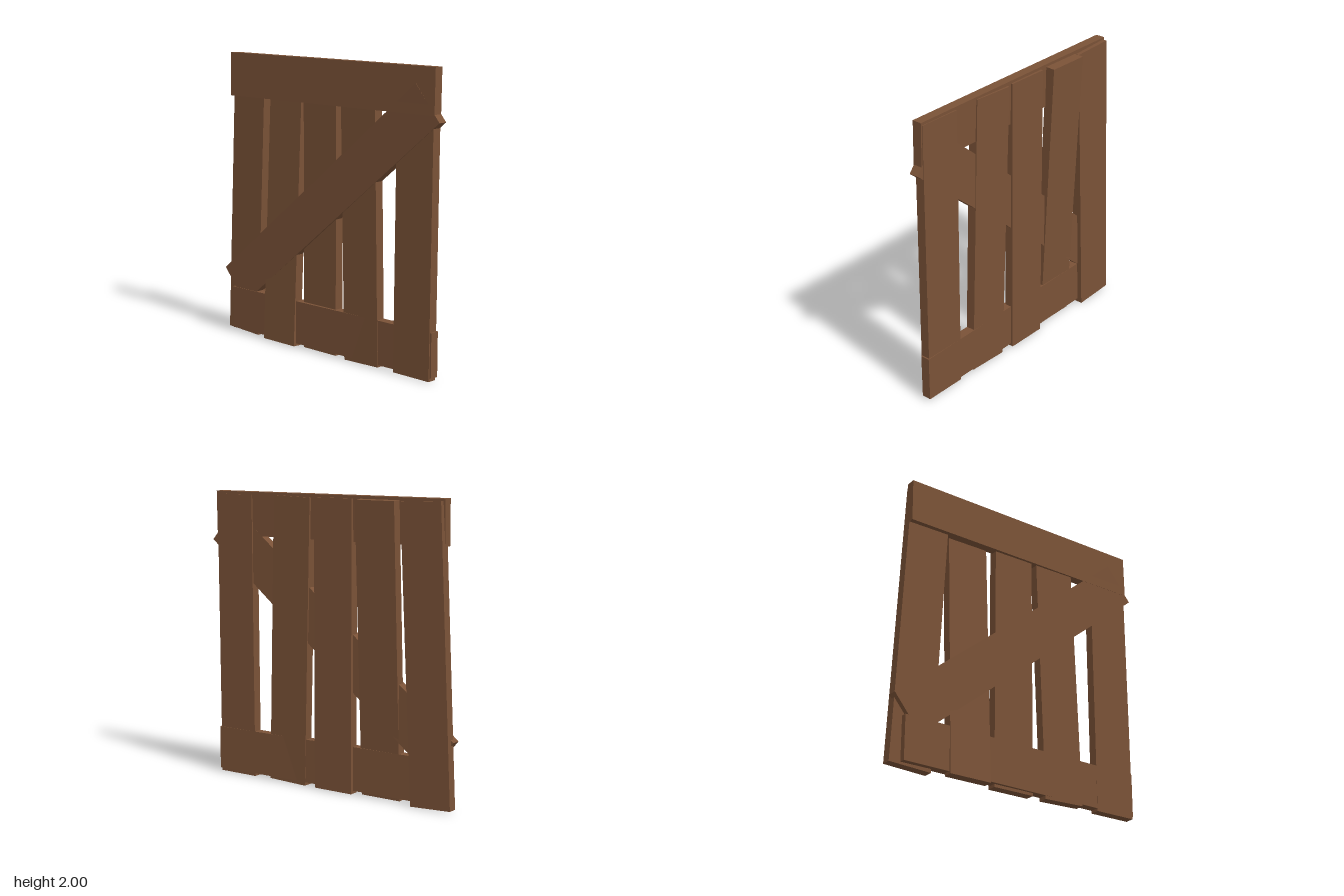
import * as THREE from 'three';

export function createModel() {
  const group = new THREE.Group();
  group.name = 'plankDoor';

  const wood = new THREE.MeshStandardMaterial({ color: 0x7a5237, flatShading: true });
  wood.name = 'brown wood';

  const THICK = 0.065, WIDTH = 0.3, HEIGHT = 1.97;

  // A rough-cut board: size is [y, z], turned a little out of true
  function board(name, [h, d], position, [rx, ry, rz]) {
    const mesh = new THREE.Mesh(new THREE.BoxGeometry(THICK, h, d), wood);
    mesh.name = name;
    mesh.position.set(...position);
    mesh.rotation.set(rx, ry, rz);
    group.add(mesh);
  }

  // Upright planks: centre x, centre z, then tilt, yaw and lean
  const planks = [
    [-0.003, 0.77, 0, 0, -0.009],
    [-0.007, 0.31, -0.03, -0.005, -0.01],
    [-0.002, -0.053, 0, 0, -0.002],
    [-0.001, -0.41, 0, 0, -0.048],
    [0, -0.774, 0.048, 0, 0],
  ];
  planks.forEach(([x, z, ...turn], i) =>
    board(`uprightPlank${i + 1}`, [HEIGHT, WIDTH], [x, 0.995, z], turn));

  // Cross rails
  board('topRail', [WIDTH, 1.82], [-0.016, 1.85, 0.02], [0, 0.018, -0.02]);
  board('bottomRail', [WIDTH, 1.82], [-0.021, 0.18, 0.02], [0, 0.02, 0]);

  // Diagonal brace, rising toward the front
  const brace = new THREE.Group();
  brace.name = 'diagonalBrace';
  brace.position.set(-0.018, 1.06, 0);
  brace.rotation.y = 0.018;
  const beam = new THREE.Mesh(new THREE.BoxGeometry(THICK, WIDTH, 2.26), wood);
  beam.name = 'braceBoard';
  beam.rotation.x = -Math.atan(0.82);
  brace.add(beam);
  group.add(brace);

  return group;
}
